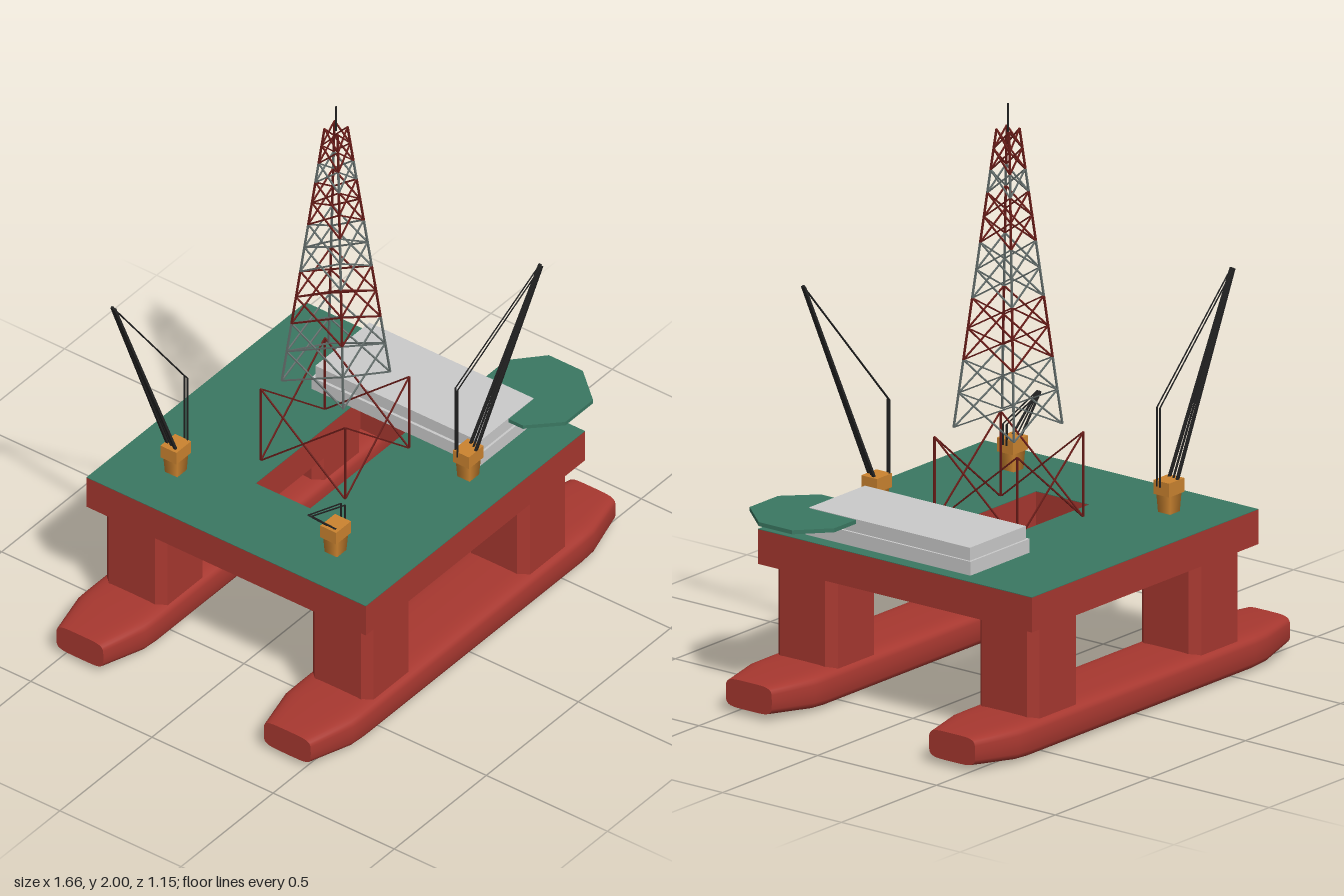
import * as THREE from 'three';
import { mergeGeometries, toCreasedNormals } from 'three/addons/utils/BufferGeometryUtils.js';

const mat = (color) => new THREE.MeshStandardMaterial({ color, side: THREE.DoubleSide });
const red = mat(0xa83830), green = mat(0x3a7862), orange = mat(0xcc8430);
const grey = mat(0xcccccc), steel = mat(0x222222), darkRed = mat(0x6a1c18), paleSteel = mat(0x66706e);
const V = (x, y, z) => new THREE.Vector3(x, y, z);

function add(parent, name, geometry, material, x = 0, y = 0, z = 0) {
  const mesh = new THREE.Mesh(geometry, material);
  mesh.name = name;
  mesh.position.set(x, y, z);
  parent.add(mesh);
  return mesh;
}

// Square bar between two points
function bar(a, b, t) {
  const d = b.clone().sub(a);
  const g = new THREE.BoxGeometry(t, d.length(), t);
  g.applyQuaternion(new THREE.Quaternion().setFromUnitVectors(V(0, 1, 0), d.normalize()));
  const m = a.clone().add(b).multiplyScalar(0.5);
  return g.translate(m.x, m.y, m.z);
}

// Horizontal plate: outline in x, z with its top at the given height
function plate(points, top, depth, hole) {
  const shape = new THREE.Shape(points.map(([x, z]) => new THREE.Vector2(x, z)));
  if (hole) shape.holes.push(new THREE.Path(hole.map(([x, z]) => new THREE.Vector2(x, z))));
  return new THREE.ExtrudeGeometry(shape, { depth, bevelEnabled: false })
    .rotateX(Math.PI / 2).translate(0, top, 0);
}
const rect = (x0, x1, z0, z1) => [[x0, z0], [x1, z0], [x1, z1], [x0, z1]];

// Rounded hull lofted along x through tapered sections
function pontoonGeometry() {
  const n = 32, pos = [], idx = [];
  const sections = [ // x, half width, bottom, top
    [-0.828, 0.097, 0.022, 0.12], [-0.655, 0.142, 0.004, 0.125], [-0.59, 0.144, 0, 0.125],
    [0.59, 0.144, 0, 0.125], [0.655, 0.142, 0.004, 0.125], [0.828, 0.097, 0.022, 0.12],
  ];
  const pow = (v) => Math.sign(v) * Math.abs(v) ** 0.42;
  for (const [x, w, lo, hi] of sections) {
    for (let j = 0; j < n; j++) {
      const a = (j / n) * Math.PI * 2;
      pos.push(x, (lo + hi) / 2 + pow(Math.sin(a)) * (hi - lo) / 2, pow(Math.cos(a)) * w);
    }
  }
  const last = (sections.length - 1) * n;
  for (let j = 0; j < n; j++) {
    const k = (j + 1) % n;
    for (let i = 0; i < last; i += n) idx.push(i + j, i + n + j, i + k, i + k, i + n + j, i + n + k);
    if (j > 0 && j < n - 1) idx.push(0, j, k, last, last + k, last + j);
  }
  const g = new THREE.BufferGeometry();
  g.setAttribute('position', new THREE.Float32BufferAttribute(pos, 3));
  g.setIndex(idx);
  return toCreasedNormals(g, 0.6);
}

// Crane: pedestal, flared cab, twin boom, twin mast and stay lines
function crane(parent, name, base, tip, mastTop, spread, t) {
  const g = new THREE.Group();
  g.name = name;
  parent.add(g);
  const [x, z] = base;
  const pedestal = new THREE.CylinderGeometry(0.042, 0.036, 0.07, 4, 1).rotateY(Math.PI / 4);
  add(g, 'cranePedestal', pedestal, orange, x, 0.595, z);
  add(g, 'craneCab', new THREE.BoxGeometry(0.08, 0.048, 0.066), orange, x, 0.651, z);
  const dir = V(tip.x - x, 0, tip.z - z).normalize();
  const side = V(-dir.z, 0, dir.x);
  const at = (f, s, y) => V(x, y, z).addScaledVector(dir, f).addScaledVector(side, s);
  const boom = [], rigging = [];
  for (const s of [-1, 1]) {
    const end = tip.clone().addScaledVector(side, s * 0.006);
    const head = at(-0.042, s * 0.008, mastTop);
    boom.push(bar(at(0.015, s * spread, 0.665), end, t));
    rigging.push(bar(at(-0.042, s * 0.008, 0.655), head, 0.005), bar(head, end, 0.0035));
  }
  boom.push(bar(at(0.015, 0, 0.665), tip, t * 0.6));
  add(g, 'craneBoom', mergeGeometries(boom), steel);
  add(g, 'craneRigging', mergeGeometries(rigging), steel);
}

// Corner k of a square of half width w at height y
const corner = (k, w, y) => V([-1, 1, 1, -1][k % 4] * w, y, [-1, -1, 1, 1][k % 4] * w);

// Four legs with an X brace on each face
function bracedBay(w0, y0, w1, y1, t) {
  const bars = [];
  for (let k = 0; k < 4; k++) {
    bars.push(bar(corner(k, w0, y0), corner(k, w1, y1), t),
      bar(corner(k, w0, y0), corner(k + 1, w1, y1), t * 0.8),
      bar(corner(k + 1, w0, y0), corner(k, w1, y1), t * 0.8));
  }
  return bars;
}

export function createModel() {
  const model = new THREE.Group();
  model.name = 'drillingPlatform';

  // Pontoons
  const hull = pontoonGeometry();
  for (const s of [-1, 1]) add(model, 'pontoon', hull, red, 0, 0, s * 0.428);

  // Columns with chamfered corners
  const r = 0.125, c = 0.095;
  const column = plate([[r, -c], [r, c], [c, r], [-c, r], [-r, c], [-r, -c], [-c, -r], [c, -r]], 0.45, 0.34);
  for (const sx of [-1, 1]) for (const sz of [-1, 1]) add(model, 'column', column, red, sx * 0.425, 0, sz * 0.425);

  // Deck box with the moon pool, and its painted top
  const outline = rect(-0.595, 0.595, -0.577, 0.575), pool = rect(-0.285, 0.285, -0.115, 0.11);
  add(model, 'deckHull', plate(outline, 0.56, 0.12, pool), red);
  add(model, 'deckSurface', plate(outline, 0.562, 0.002, pool), green);

  // Accommodation block
  add(model, 'houseLower', plate(rect(0.233, 0.545, -0.278, 0.416), 0.61, 0.049), grey);
  add(model, 'houseUpper', plate(rect(0.243, 0.537, -0.27, 0.408), 0.655, 0.045), grey);

  // Helicopter deck
  add(model, 'helideck', plate([[0.515, 0.21], [0.65, 0.21], [0.755, 0.305], [0.755, 0.445],
    [0.65, 0.567], [0.5, 0.567], [0.4, 0.467], [0.4, 0.31]], 0.653, 0.014), green);

  // Cranes
  crane(model, 'rearCrane', [-0.39, -0.365], V(-0.64, 1.355, -0.433), 0.93, 0.022, 0.009);
  crane(model, 'frontCrane', [0.172, 0.415], V(0.395, 1.355, 0.545), 0.93, 0.022, 0.009);
  crane(model, 'smallCrane', [-0.417, 0.315], V(-0.56, 0.795, 0.318), 0.728, 0.018, 0.006);

  // Derrick substructure
  add(model, 'derrickBase', mergeGeometries(bracedBay(0.174, 0.56, 0.174, 0.855, 0.006)), darkRed, 0, 0, -0.004);

  // Tapering derrick in painted bands, bays shortening upwards
  const y0 = 0.885, y1 = 1.912, bays = 11;
  const level = (i) => y0 + (y1 - y0) * (i / bays) * (1.3 - 0.3 * i / bays);
  const width = (y) => 0.127 - 0.1 * (y - y0) / (y1 - y0);
  const bands = [[], []];
  for (let i = 0; i < bays; i++) {
    const a = level(i), b = level(i + 1);
    bands[i > 8 ? 1 : (i >> 1) % 2].push(...bracedBay(width(a), a, width(b), b, 0.006));
  }
  add(model, 'derrickPaleBands', mergeGeometries(bands[0]), paleSteel);
  add(model, 'derrickRedBands', mergeGeometries(bands[1]), darkRed);
  add(model, 'antenna', bar(V(0, 1.9, 0), V(0, 2, 0), 0.005), steel);

  return model;
}
